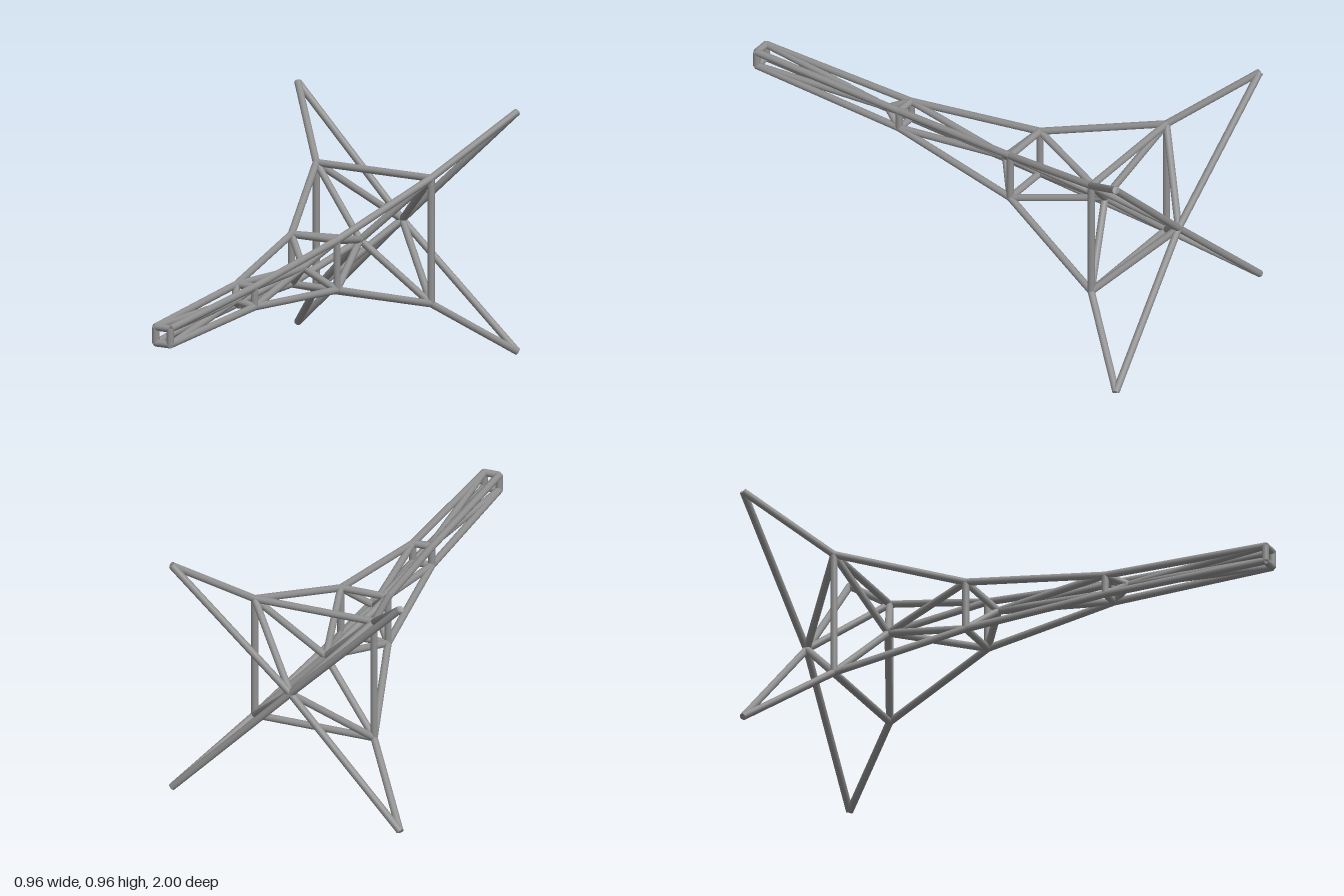
import * as THREE from 'three';

const CENTRE_Y = 0.4825;
const RADIUS = 0.014;

export function createModel() {
  const model = new THREE.Group();
  model.name = 'trussTower';
  const steel = new THREE.MeshStandardMaterial({ color: 0x909090 });
  steel.name = 'grey steel';

  // Round strut between two points
  function strut(group, name, a, b) {
    const dir = b.clone().sub(a);
    const mesh = new THREE.Mesh(new THREE.CylinderGeometry(RADIUS, RADIUS, dir.length(), 14), steel);
    mesh.name = name;
    mesh.position.copy(a).add(b).multiplyScalar(0.5);
    mesh.quaternion.setFromUnitVectors(new THREE.Vector3(0, 1, 0), dir.normalize());
    group.add(mesh);
  }

  function section(name) {
    const group = new THREE.Group();
    group.name = name;
    model.add(group);
    return group;
  }

  // Four corners of a square station across the long axis
  const square = (half, z) => [[1, 1], [-1, 1], [-1, -1], [1, -1]]
    .map(([x, y]) => new THREE.Vector3(x * half, CENTRE_Y + y * half, z));

  // Stations from the narrow front end to the four splayed tips
  const stations = [
    square(0.031, 0.985),
    square(0.039, 0.32),
    square(0.097, -0.235),
    square(0.245, -0.715),
    square(0.468, -0.988),
  ];
  // Axis node between each pair of neighbouring stations
  const nodes = [0.4, -0.145, -0.605, -0.945].map((z) => new THREE.Vector3(0, CENTRE_Y, z));

  // Corner rails running the whole length
  const rails = section('cornerRails');
  for (let s = 0; s < 4; s++) {
    for (let c = 0; c < 4; c++) strut(rails, 'cornerRail', stations[s][c], stations[s + 1][c]);
  }

  // Square frames; the tips stay open
  const frames = section('squareFrames');
  for (let s = 0; s < 4; s++) {
    for (let c = 0; c < 4; c++) strut(frames, 'frameBar', stations[s][c], stations[s][(c + 1) % 4]);
  }

  // Diagonal braces from each node to the corners on both sides of it
  const braces = section('diagonalBraces');
  nodes.forEach((node, i) => {
    for (const corner of [...stations[i], ...stations[i + 1]]) strut(braces, 'diagonalBrace', node, corner);
  });

  return model;
}
